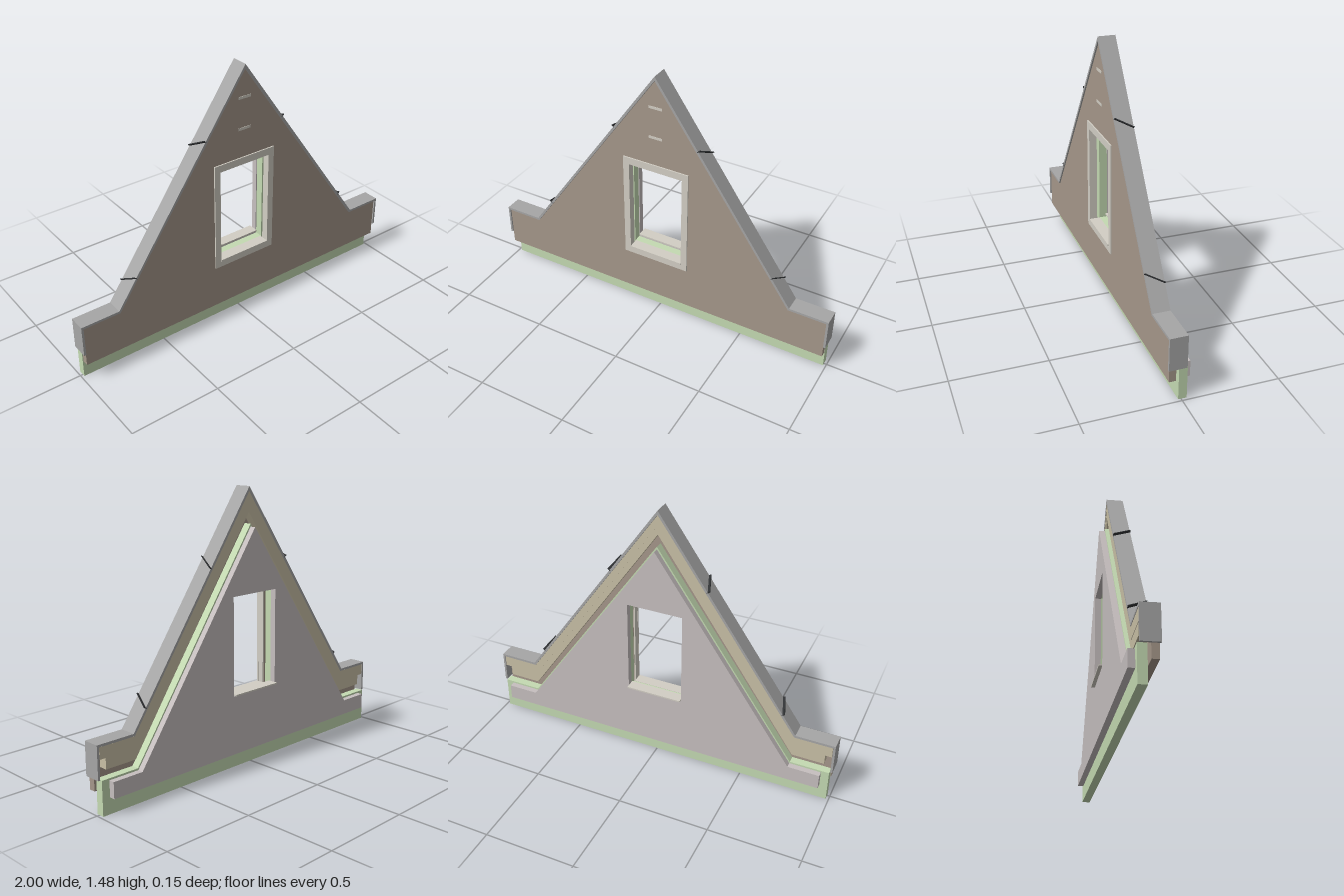
import * as THREE from 'three';

const COLORS = {
  brick: 0xa5978a, insulation: 0xc4dab2, plaster: 0xc6bfbf,
  cap: 0xa6a6a6, timber: 0xc9c0a6, trim: 0xd2cec4, joint: 0x303234,
};
const mats = {};
for (const k in COLORS) mats[k] = new THREE.MeshStandardMaterial({ color: COLORS[k], flatShading: true });

// Upper edge of a gable, from right shoulder over the apex to left shoulder
const edge = (half, shoulder, breakX, apex) => [
  [-half, shoulder], [-breakX, shoulder], [0, apex], [breakX, shoulder], [half, shoulder],
];
const toShape = (pts) => new THREE.Shape(pts.map(([x, y]) => new THREE.Vector2(x, y)));

function rectPath(x0, y0, x1, y1) {
  return new THREE.Path([[x0, y0], [x1, y0], [x1, y1], [x0, y1]].map(([x, y]) => new THREE.Vector2(x, y)));
}

export function createModel() {
  const group = new THREE.Group();
  group.name = 'gableWall';

  const add = (name, geometry, mat) => {
    const mesh = new THREE.Mesh(geometry, mats[mat]);
    mesh.name = name;
    group.add(mesh);
    return mesh;
  };
  // Flat slab between two depths
  const slab = (name, shape, z0, z1, mat) => {
    const geometry = new THREE.ExtrudeGeometry(shape, { depth: z1 - z0, bevelEnabled: false });
    return add(name, geometry.translate(0, 0, z0), mat);
  };
  const box = (name, w, h, d, x, y, z, mat) => {
    const mesh = add(name, new THREE.BoxGeometry(w, h, d), mat);
    mesh.position.set(x, y, z);
    return mesh;
  };
  // Gable-shaped leaf with a window opening
  const leaf = (name, base, half, shoulder, breakX, apex, hole, z0, z1, mat) => {
    const shape = toShape([[-half, base], [half, base], ...edge(half, shoulder, breakX, apex).reverse()]);
    shape.holes.push(rectPath(...hole));
    slab(name, shape, z0, z1, mat);
  };
  // Strip between two gable edges
  const band = (name, outer, inner, z0, z1, mat) =>
    slab(name, toShape([...outer, ...inner.slice().reverse()]), z0, z1, mat);

  // Wall layers
  leaf('outerBrickLeaf', 0.11, 0.987, 0.341, 0.779, 1.45, [-0.165, 0.375, 0.165, 0.94], 0.03, 0.065, 'brick');
  leaf('insulationLayer', 0, 0.985, 0.18, 0.772, 1.285, [-0.16, 0.395, 0.16, 0.935], -0.028, 0.015, 'insulation');
  leaf('innerWallLeaf', 0.085, 0.942, 0.17, 0.77, 1.27, [-0.155, 0.405, 0.155, 0.93], -0.06, -0.028, 'plaster');

  // Coping with turned-down ends
  const capOuter = [[-1, 0.18], ...edge(1, 0.355, 0.785, 1.475), [1, 0.18]];
  const capInner = [[-0.988, 0.18], ...edge(0.988, 0.342, 0.779, 1.452), [0.988, 0.18]];
  band('coping', capOuter, capInner, -0.02, 0.072, 'cap');

  // Timber boards under the coping
  const rows = [
    edge(0.986, 0.341, 0.779, 1.45),
    edge(0.986, 0.28, 0.777, 1.395),
    edge(0.95, 0.222, 0.775, 1.345),
  ];
  band('upperTimberBoard', rows[0], rows[1], -0.018, 0.03, 'timber');
  band('lowerTimberBoard', rows[1].map(([x, y]) => [THREE.MathUtils.clamp(x, -0.95, 0.95), y]), rows[2], -0.016, 0.03, 'timber');

  // Slanted joints across the sloping coping
  const normal = new THREE.Vector3(1.427, 1, 0).normalize();
  for (const side of [-1, 1]) {
    for (const [x, y] of [[0.26, 1.109], [0.695, 0.488]]) {
      const along = new THREE.Vector3(-0.032 * side, 0.045, 0.092);
      const length = along.length();
      along.normalize();
      const n = new THREE.Vector3(normal.x * side, normal.y, 0);
      const across = new THREE.Vector3().crossVectors(n, along);
      const joint = box('copingJoint', 0.005, 0.02, length, x * side, y, 0.026, 'joint');
      joint.quaternion.setFromRotationMatrix(new THREE.Matrix4().makeBasis(across, n, along));
    }
  }

  // Window surround and inner lining
  const surround = toShape([[-0.19, 0.355], [0.19, 0.355], [0.19, 0.97], [-0.19, 0.97]]);
  surround.holes.push(rectPath(-0.155, 0.385, 0.155, 0.93));
  slab('windowSurround', surround, 0.063, 0.072, 'trim');
  const lining = toShape([[-0.164, 0.376], [0.164, 0.376], [0.164, 0.939], [-0.164, 0.939]]);
  lining.holes.push(rectPath(-0.156, 0.385, 0.156, 0.931));
  slab('windowLining', lining, 0.03, 0.064, 'trim');

  // Window sills
  box('outerSill', 0.31, 0.01, 0.06, 0, 0.392, 0.045, 'trim');
  box('innerSill', 0.31, 0.008, 0.06, 0, 0.413, -0.048, 'trim');

  // Vent slots near the apex
  for (const y of [1.13, 1.3]) box('ventSlot', 0.075, 0.014, 0.006, 0, y, 0.064, 'trim');

  return group;
}
